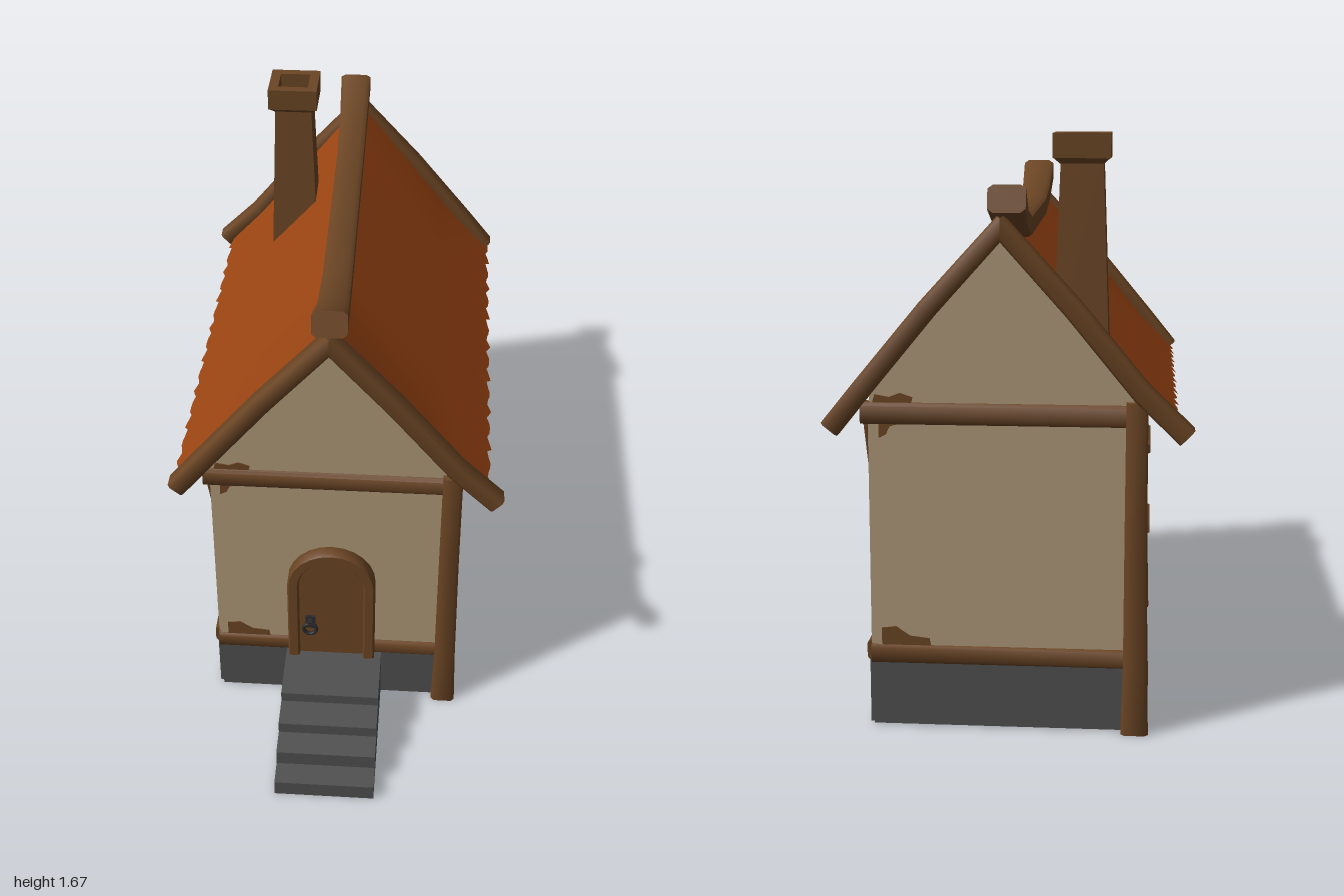
import * as THREE from 'three';
import { toCreasedNormals } from 'three/addons/utils/BufferGeometryUtils.js';

const V = (x, y, z) => new THREE.Vector3(x, y, z);
const Z0 = -0.2125; // middle of the house along z

function material(name, color, side = THREE.FrontSide) {
  const m = new THREE.MeshStandardMaterial({ color, side });
  m.name = name;
  return m;
}

// Chamfered timber swept along a path; w is across, h is along the up hint
function beamGeometry(path, w, h, up, scales = []) {
  const c = 0.72, ring = [[1, -c], [1, c], [c, 1], [-c, 1], [-1, c], [-1, -c], [-c, -1], [c, -1]];
  const pos = [], idx = [], n = ring.length, last = path.length - 1;
  path.forEach((p, k) => {
    const T = path[Math.min(k + 1, last)].clone().sub(path[Math.max(k - 1, 0)]).normalize();
    const U = up.clone().addScaledVector(T, -up.dot(T)).normalize();
    const S = U.clone().cross(T), s = scales[k] ?? 1;
    for (const [a, b] of ring) {
      const q = p.clone().addScaledVector(S, a * w * s / 2).addScaledVector(U, b * h * s / 2);
      pos.push(q.x, q.y, q.z);
    }
    if (k < last) for (let i = 0; i < n; i++) {
      const a = k * n + i, b = k * n + (i + 1) % n;
      idx.push(a, b, b + n, a, b + n, a + n);
    }
  });
  for (let i = 1; i < n - 1; i++) {
    idx.push(0, i + 1, i, last * n, last * n + i, last * n + i + 1);
  }
  const g = new THREE.BufferGeometry();
  g.setAttribute('position', new THREE.Float32BufferAttribute(pos, 3));
  g.setIndex(idx);
  return toCreasedNormals(g, 0.9);
}

const extrude = (points, depth) => new THREE.ExtrudeGeometry(
  new THREE.Shape(points.map(p => new THREE.Vector2(...p))), { depth, bevelEnabled: false });

export function createModel() {
  const wood = material('timber brown', 0x6b4524);
  const plaster = material('plaster tan', 0xb09979);
  const stone = material('stone grey', 0x505050);
  const tile = material('roof orange', 0x9a4412, THREE.DoubleSide);
  const glass = material('glass green', 0x42907a);
  const iron = material('iron black', 0x2b2b2d);
  const house = new THREE.Group();
  house.name = 'cottage';

  const add = (parent, name, geo, mat, x = 0, y = 0, z = 0) => {
    const m = new THREE.Mesh(geo, mat);
    m.name = name;
    m.position.set(x, y, z);
    parent.add(m);
    return m;
  };
  const box = (parent, name, mat, w, h, d, x, y, z) =>
    add(parent, name, new THREE.BoxGeometry(w, h, d), mat, x, y, z);
  const beam = (parent, name, path, w, h, up, scales) =>
    add(parent, name, beamGeometry(path, w, h, up, scales), wood);
  const X = V(1, 0, 0), Y = V(0, 1, 0), Z = V(0, 0, 1);

  // Each half holds the +x side and the front gable; the second is turned half round
  function buildHalf(name) {
    const g = new THREE.Group();
    g.name = name;
    g.position.z = Z0;
    house.add(g);

    // Walls and footing
    box(g, 'sideWall', plaster, 0.02, 0.75, 1.49, 0.362, 0.565, 0);
    box(g, 'sideFooting', stone, 0.03, 0.19, 1.49, 0.362, 0.1, 0);
    box(g, 'gableFooting', stone, 0.73, 0.19, 0.03, 0, 0.1, 0.742);
    add(g, 'gableWall', extrude(
      [[-0.365, 0.19], [0.365, 0.19], [0.365, 0.96], [0, 1.4], [-0.365, 0.96]], 0.02),
    plaster, 0, 0, 0.735);

    // Posts
    for (const [z, top] of [[0.7475, 0.95], [0.3725, 0.93], [-0.3725, 0.93]]) {
      beam(g, 'post', [V(0.375, 0, z), V(0.375, 0.2, z), V(0.373, 0.6, z), V(0.373, top, z)],
        0.062, 0.062, Z, [1.25, 1.08, 1, 0.97]);
    }
    // Rails, cross beam and braces
    beam(g, 'sideRail', [V(0.363, 0.217, -0.74), V(0.363, 0.217, 0.74)], 0.045, 0.055, Y);
    beam(g, 'wallPlate', [V(0.363, 0.895, -0.74), V(0.363, 0.895, 0.74)], 0.045, 0.055, Y);
    beam(g, 'gableRail', [V(-0.37, 0.215, 0.745), V(0.37, 0.215, 0.745)], 0.045, 0.052, Y);
    beam(g, 'crossBeam', [V(-0.39, 0.91, 0.745), V(0.39, 0.91, 0.745)], 0.05, 0.06, Y);
    for (const z of [0.71, -0.4]) {
      beam(g, 'brace', [V(0.368, 0.235, z), V(0.368, 0.89, z - 0.32)], 0.042, 0.038, X);
    }

    // Window
    const w = new THREE.Group();
    w.name = 'window';
    g.add(w);
    add(w, 'glassPane', extrude(
      [[-0.11, 0.42], [0.11, 0.42], [0.11, 0.68], [0.05, 0.7], [-0.05, 0.7], [-0.11, 0.68]], 0.006)
      .rotateY(Math.PI / 2), glass, 0.372);
    beam(w, 'sill', [V(0.386, 0.418, -0.132), V(0.386, 0.418, 0.132)], 0.052, 0.03, Y);
    beam(w, 'lintel', [-0.132, -0.07, 0, 0.07, 0.132].map(z => V(0.386, 0.704 - 1.5 * z * z, z)),
      0.052, 0.034, Y);
    for (const z of [-0.108, 0.108]) {
      beam(w, 'jamb', [V(0.381, 0.42, z), V(0.381, 0.69, z)], 0.022, 0.036, X);
    }
    beam(w, 'mullion', [V(0.379, 0.42, 0), V(0.379, 0.7, 0)], 0.018, 0.024, X);
    for (const y of [0.51, 0.6]) {
      beam(w, 'glazingBar', [V(0.378, y, -0.11), V(0.378, y, 0.11)], 0.02, 0.014, Y);
    }

    // Worn plaster patches
    const patches = [
      [[-0.36, 0.93], [-0.25, 0.93], [-0.245, 0.955], [-0.28, 0.967], [-0.31, 0.955], [-0.35, 0.962]],
      [[-0.34, 0.89], [-0.34, 0.84], [-0.32, 0.85], [-0.31, 0.872], [-0.27, 0.885]],
      [[-0.34, 0.235], [-0.2, 0.235], [-0.205, 0.262], [-0.26, 0.268], [-0.3, 0.295], [-0.34, 0.29]],
    ];
    for (const p of patches) {
      add(g, 'wornPatch', extrude(p, 0.004), wood, 0, 0, 0.754);
    }
    add(g, 'wornPatch', extrude([[-0.35, 0.24], [-0.21, 0.24], [-0.22, 0.262], [-0.27, 0.268],
      [-0.31, 0.262], [-0.35, 0.29]], 0.004).rotateY(Math.PI / 2), wood, 0.371);

    // Roof slope: sagging ridge, flared and ragged eave
    const roof = new THREE.PlaneGeometry(1, 1, 60, 6), p = roof.attributes.position;
    for (let i = 0; i < p.count; i++) {
      const z = -p.getX(i) * 1.5, v = p.getY(i) + 0.5;
      const ridge = 1.39 + 0.065 * Math.pow(Math.max(0, (Math.abs(z) - 0.38) / 0.38), 1.4);
      let x, y;
      if (v < 0.17) {
        const t = v / 0.1667;
        x = 0.487 - 0.117 * t;
        y = 0.862 + 0.123 * t;
        if (v < 0.01) {
          const r = 0.006 * Math.sin(z * 67) + 0.003 * Math.sin(z * 151 + 1);
          x += r;
          y -= r;
        }
      } else {
        const t = (v - 0.1667) / 0.8333;
        x = 0.37 * (1 - t);
        y = 0.985 + (ridge - 0.985) * t;
      }
      p.setXYZ(i, x, y, z);
    }
    roof.computeVertexNormals();
    add(g, 'roofSlope', roof, tile);

    // Barge boards, one running a little longer than the other
    for (const [s, ex, ey] of [[1, 0.51, 0.857], [-1, 0.475, 0.866]]) {
      beam(g, 'bargeBoard', [V(-0.012 * s, 1.438, 0.756), V(s * 0.2, 1.203, 0.757),
        V(s * 0.385, 0.978, 0.756), V(s * ex, ey, 0.754)], 0.062, 0.056, V(s, 1, 0),
      [0.95, 1, 1.02, 1.03]);
    }
    return g;
  }
  buildHalf('frontHalf');
  buildHalf('backHalf').rotation.y = Math.PI;

  // Ridge beam, upswept at both ends
  beam(house, 'ridgeBeam', [[0.785, 1.502], [0.61, 1.432], [0.4, 1.398], [-0.38, 1.398],
    [-0.6, 1.432], [-0.785, 1.502]].map(([z, y]) => V(-0.008 + 0.014 * z, y, z + Z0)),
  0.09, 0.068, Y, [1.15, 1.05, 1, 1, 1.05, 1.15]);

  // Chimney with a hollow cap
  const chimney = new THREE.Group();
  chimney.name = 'chimney';
  chimney.position.set(-0.207, 0, -0.645);
  house.add(chimney);
  const shaft = new THREE.CylinderGeometry(0.5, 0.68, 0.6, 4, 1).rotateY(Math.PI / 4)
    .scale(0.17, 1, 0.155);
  add(chimney, 'shaft', toCreasedNormals(shaft, 0.5), wood, 0, 1.31, 0);
  const square = r => [V(-r, -r, 0), V(r, -r, 0), V(r, r, 0), V(-r, r, 0)];
  const capShape = new THREE.Shape(square(0.082));
  capShape.holes.push(new THREE.Path(square(0.05).reverse()));
  const cap = new THREE.ExtrudeGeometry(capShape, { depth: 0.07, bevelEnabled: false });
  add(chimney, 'cap', cap.rotateX(-Math.PI / 2), wood, 0, 1.598, 0);
  const collar = new THREE.CylinderGeometry(0.116, 0.088, 0.018, 4).rotateY(Math.PI / 4);
  add(chimney, 'collar', toCreasedNormals(collar, 0.5), wood, 0, 1.591, 0);

  // Arched door with its frame and ring handle
  const door = new THREE.Group();
  door.name = 'door';
  door.position.x = 0.003;
  house.add(door);
  const arch = r => Array.from({ length: 13 }, (_, i) => {
    const a = Math.PI * (1 - i / 12);
    return [r * Math.cos(a), 0.5 + r * Math.sin(a)];
  });
  add(door, 'doorPanel', extrude([[0.115, 0.19], ...arch(0.115).reverse(), [-0.115, 0.19]].reverse(),
    0.025), wood, 0, 0, 0.54);
  beam(door, 'doorFrame', [[-0.122, 0.19], [-0.122, 0.36], ...arch(0.122), [0.122, 0.36], [0.122, 0.19]]
    .map(([x, y]) => V(x, y, 0.56)), 0.037, 0.05, Z);
  box(door, 'handlePlate', iron, 0.032, 0.05, 0.008, -0.068, 0.335, 0.568);
  box(door, 'handleKnob', iron, 0.016, 0.016, 0.03, -0.068, 0.345, 0.578);
  add(door, 'handleRing', new THREE.TorusGeometry(0.021, 0.006, 8, 20), iron, -0.068, 0.322, 0.588);

  // Stone steps
  const steps = extrude([[0.55, 0], [1, 0], [1, 0.052], [0.925, 0.056], [0.925, 0.106], [0.845, 0.112],
    [0.845, 0.15], [0.752, 0.155], [0.752, 0.19], [0.55, 0.195]], 0.312);
  add(house, 'steps', steps.rotateY(-Math.PI / 2), stone, 0.166, 0, 0);

  return house;
}
